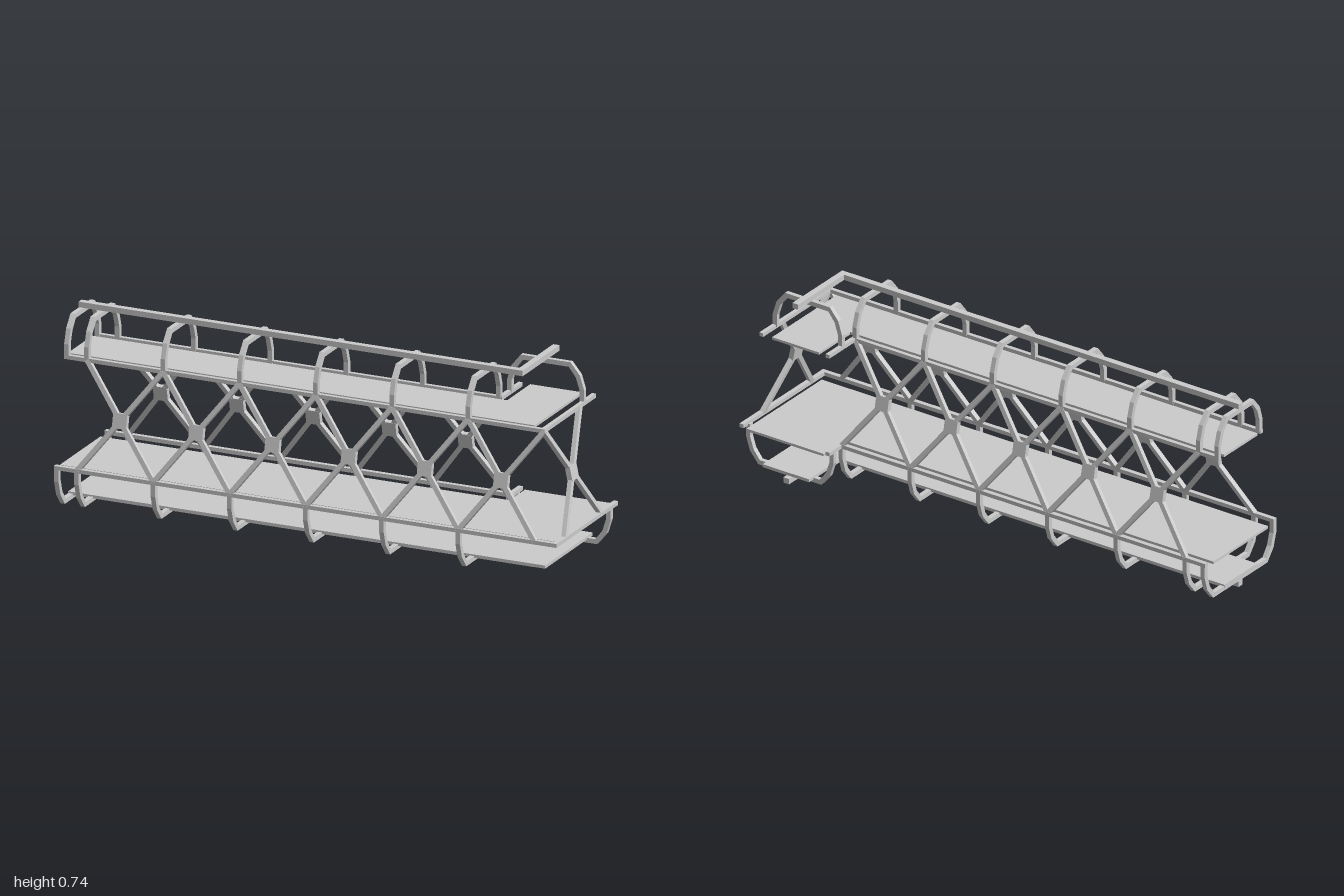
import * as THREE from 'three';

const mat = new THREE.MeshStandardMaterial({ color: 0xcccccc, flatShading: true });
const zMid = 0.0375; // centre line of the long run
const T = 0.018; // bar thickness

export function createModel() {
  const root = new THREE.Group();

  const add = (geo, name, parent = root) => {
    const m = new THREE.Mesh(geo, mat);
    m.name = name;
    parent.add(m);
    return m;
  };

  // L-shaped strip: long run along x at z = zc, short arm along -z at x = xc
  const strip = (name, top, h, zc, xc, half) => {
    const s = new THREE.Shape([
      [-1, zc + half], [xc + half, zc + half], [xc + half, -0.26],
      [xc - half, -0.26], [xc - half, zc - half], [-1, zc - half],
    ].map((p) => new THREE.Vector2(...p)));
    const g = new THREE.ExtrudeGeometry(s, { depth: h, bevelEnabled: false });
    g.rotateX(Math.PI / 2);
    add(g, name).position.y = top;
  };

  // Hoop with chamfered corners, standing on its open end; dir -1 hangs it down
  const hoop = (name, hw, dir) => {
    const outer = [[hw, 0], [hw, 0.05], [hw - 0.017, 0.105], [hw - 0.054, 0.15]];
    const inner = [[hw - T, 0], [hw - T, 0.048], [hw - 0.033, 0.095], [hw - 0.061, 0.15 - T]];
    const flip = (a) => a.map(([x, y]) => [-x, y]).reverse();
    const pts = [...outer, ...flip(outer), ...flip(inner).reverse(), ...inner.slice().reverse()];
    const s = new THREE.Shape(pts.map(([x, y]) => new THREE.Vector2(x, y * dir)));
    const g = new THREE.ExtrudeGeometry(s, { depth: T, bevelEnabled: false });
    g.translate(0, 0, -T / 2);
    return add(g, name);
  };

  // Crossed bars with a square node plate, in an upright plane of the given height
  const brace = (name, width, height) => {
    const g = new THREE.Group();
    g.name = name;
    const len = Math.hypot(width, height);
    for (const s of [-1, 1]) {
      add(new THREE.BoxGeometry(T, len, T), 'diagonalBar', g).rotation.z = s * Math.atan2(width, height);
    }
    add(new THREE.BoxGeometry(0.056, 0.056, T * 1.1), 'nodePlate', g);
    root.add(g);
    return g;
  };

  // Decks and walkways
  strip('upperDeck', 0.575, 0.01, zMid, 0.752, 0.103);
  strip('lowerDeck', 0.17, 0.01, zMid, 0.798, 0.17);
  strip('lowerWalkway', 0.047, 0.012, zMid, 0.795, 0.102);

  // Ridge rail and keel rail
  strip('topRail', 0.741, 0.021, zMid, 0.753, 0.0125);
  strip('bottomRail', 0.022, 0.022, zMid, 0.793, 0.0125);

  // Edge beams of both decks
  strip('upperOuterBeam', 0.578, 0.015, 0.167, 0.903, 0.008);
  strip('upperInnerBeam', 0.578, 0.015, -0.092, 0.611, 0.008);
  strip('lowerOuterBeam', 0.182, 0.015, 0.251, 0.99, 0.009);
  strip('lowerInnerBeam', 0.182, 0.015, -0.176, 0.611, 0.009);

  // Hoops along the long run
  for (const x of [-0.99, -0.91, -0.606, -0.303, 0, 0.303, 0.606]) {
    for (const [name, hw, y, dir] of [['upperHoop', 0.1375, 0.57, 1], ['lowerHoop', 0.2225, 0.173, -1]]) {
      const h = hoop(name, hw, dir);
      h.rotation.y = Math.PI / 2;
      h.position.set(x, y, zMid);
    }
  }
  // Hoops at the end of the short arm
  hoop('upperArmHoop', 0.153, 1).position.set(0.757, 0.57, -0.17);
  hoop('lowerArmHoop', 0.193, -1).position.set(0.798, 0.173, -0.222);

  // Leaning braces: six in front, five at the back, one on the end
  const rise = 0.395, yMid = 0.373, lean = Math.atan2(0.084, rise);
  const slope = Math.hypot(0.084, rise);
  for (let i = 0; i < 6; i++) {
    const x = -0.758 + i * 0.303;
    const f = brace('frontBrace', 0.303, slope);
    f.position.set(x, yMid, 0.209);
    f.rotation.x = -lean;
    if (i === 5) continue;
    const b = brace('backBrace', 0.303, slope);
    b.position.set(x, yMid, -0.134);
    b.rotation.x = lean;
  }
  const e = brace('endBrace', 0.303, slope);
  e.position.set(0.946, yMid, 0.018);
  e.rotation.order = 'YXZ';
  e.rotation.set(-lean, Math.PI / 2, 0);

  return root;
}
